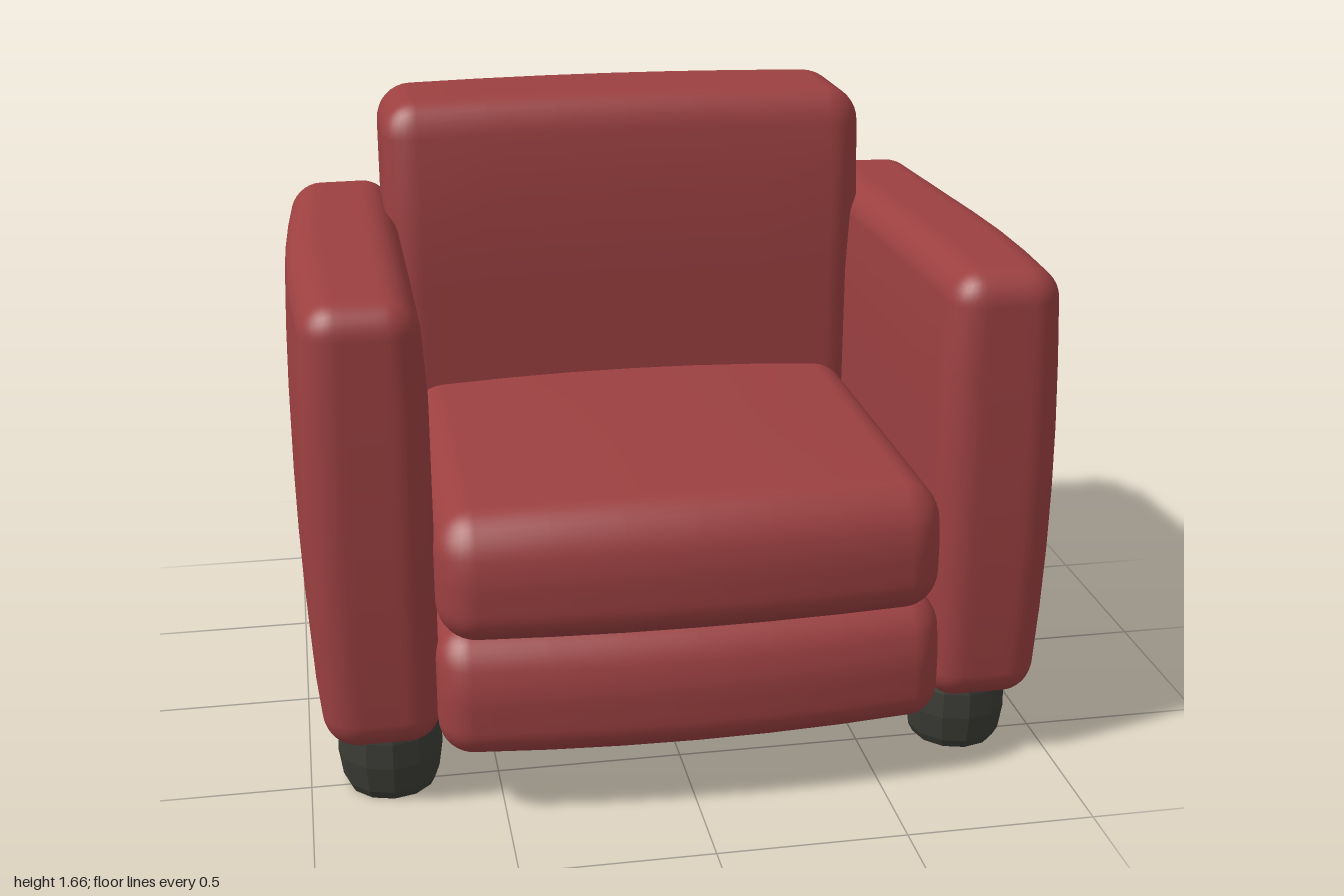
import * as THREE from 'three';
import { mergeVertices } from 'three/addons/utils/BufferGeometryUtils.js';

const bow = (t) => Math.max(0, 1 - t * t); // 1 in the middle, 0 at the ends
const smooth = THREE.MathUtils.smoothstep;

// Rounded box between two corners, with extra rows in the rounded zones,
// then shaped by a rule. u, v, w run -1..1 across the box.
function softBox(min, max, r, rule) {
  const N = 14, K = 4;
  const half = min.map((m, i) => (max[i] - m) / 2);
  const mid = min.map((m, i) => (max[i] + m) / 2);
  const g = new THREE.BoxGeometry(N, N, N, N, N, N);
  g.deleteAttribute('uv');
  g.deleteAttribute('normal');
  const pos = g.attributes.position;
  const place = (t, h) => { // grid step to distance from the centre
    const inner = N / 2 - K, a = Math.abs(t), s = Math.sign(t);
    if (a <= inner) return (s * a / inner) * (h - r);
    return s * (h - r + r * Math.tan(((a - inner) / K) * Math.PI / 4));
  };
  const p = new THREE.Vector3(), q = new THREE.Vector3();
  for (let i = 0; i < pos.count; i++) {
    p.set(place(pos.getX(i), half[0]), place(pos.getY(i), half[1]), place(pos.getZ(i), half[2]));
    q.set(...p.toArray().map((c, k) => THREE.MathUtils.clamp(c, r - half[k], half[k] - r)));
    p.sub(q).setLength(r).add(q);
    const [u, v, w] = [p.x / half[0], p.y / half[1], p.z / half[2]];
    p.add(q.set(...mid));
    rule(p, u, v, w);
    pos.setXYZ(i, p.x, p.y, p.z);
  }
  const merged = mergeVertices(g, 1e-4);
  merged.computeVertexNormals();
  return merged;
}

export function createModel() {
  const red = new THREE.MeshStandardMaterial({ color: 0x9c4041 });
  red.name = 'red upholstery';
  const dark = new THREE.MeshStandardMaterial({ color: 0x3b3c35 });
  dark.name = 'dark leg';
  const chair = new THREE.Group();
  chair.name = 'armchair';
  const add = (name, geometry, material) => {
    const mesh = new THREE.Mesh(geometry, material);
    mesh.name = name;
    chair.add(mesh);
    return mesh;
  };

  // Arms: outer side bulges, top dips slightly to the back
  for (const s of [1, -1]) {
    const x0 = s > 0 ? 0.655 : -0.95, x1 = s > 0 ? 0.95 : -0.655;
    add(s > 0 ? 'leftArm' : 'rightArm', softBox([x0, 0.18, -0.76], [x1, 1.38, 0.67], 0.085, (p, u, v, w) => {
      const out = (1 + s * u) / 2;
      p.x += s * out * (0.03 * bow(w) + 0.02 * bow(v - 0.1));
      p.x += s * (1 - out) * 0.015 * smooth(v, 0.6, 1);
      p.y -= 0.02 * smooth(v, 0.5, 1) * smooth(-w, -0.6, 0.6);
      p.z += w > 0 ? 0.02 * w * bow(v + 0.2) : 0.015 * w * (1 - out) + 0.01 * w * (v < 0 ? 1 : 0) * bow(2 * v + 1.4);
    }), red);
  }

  // Back cushion: front leans away at the top, rear slightly full
  add('backrest', softBox([-0.7, 0.17, -0.77], [0.7, 1.65, -0.31], 0.1, (p, u, v, w) => {
    p.y += v > 0 ? 0.012 * bow(u) : 0;
    if (w > 0) p.z -= 0.04 * smooth(v, 0.6, 0.95) * w;
    else p.z += w * 0.015 * bow(u) * (v < 0.5 ? 1 : 0.4);
  }), red);

  // Seat base: bowed front and sagging underside
  add('seatBase', softBox([-0.665, 0.175, -0.72], [0.665, 0.51, 0.735], 0.085, (p, u, v, w) => {
    if (v < 0) p.y += v * 0.035 * bow(u) * bow(w);
    p.z += smooth(w, 0.5, 1) * (0.045 * bow(u) + 0.01 - 0.035 * smooth(v, 0, 1));
  }), red);

  // Seat cushion: crowned top and bowed front
  add('seatCushion', softBox([-0.66, 0.485, -0.4], [0.66, 0.825, 0.73], 0.1, (p, u, v, w) => {
    if (v > 0) p.y += v * 0.035 * bow(u) * (0.6 + 0.4 * bow(w));
    p.z += smooth(w, 0.5, 1) * (0.04 * bow(u) + 0.01 - 0.03 * smooth(v, 0, 1));
  }), red);

  // Legs: faceted stubby feet
  const profile = [[0, 0], [0.115, 0], [0.128, 0.025], [0.139, 0.1], [0.136, 0.17], [0.125, 0.22], [0, 0.22]]
    .map(([x, y]) => new THREE.Vector2(x, y));
  const leg = new THREE.LatheGeometry(profile, 12).toNonIndexed();
  leg.computeVertexNormals();
  for (const [side, x] of [['Left', 0.785], ['Right', -0.785]]) {
    for (const [end, z] of [['front', 0.48], ['back', -0.495]]) {
      add(end + side + 'Leg', leg, dark).position.set(x, 0, z);
    }
  }
  return chair;
}
